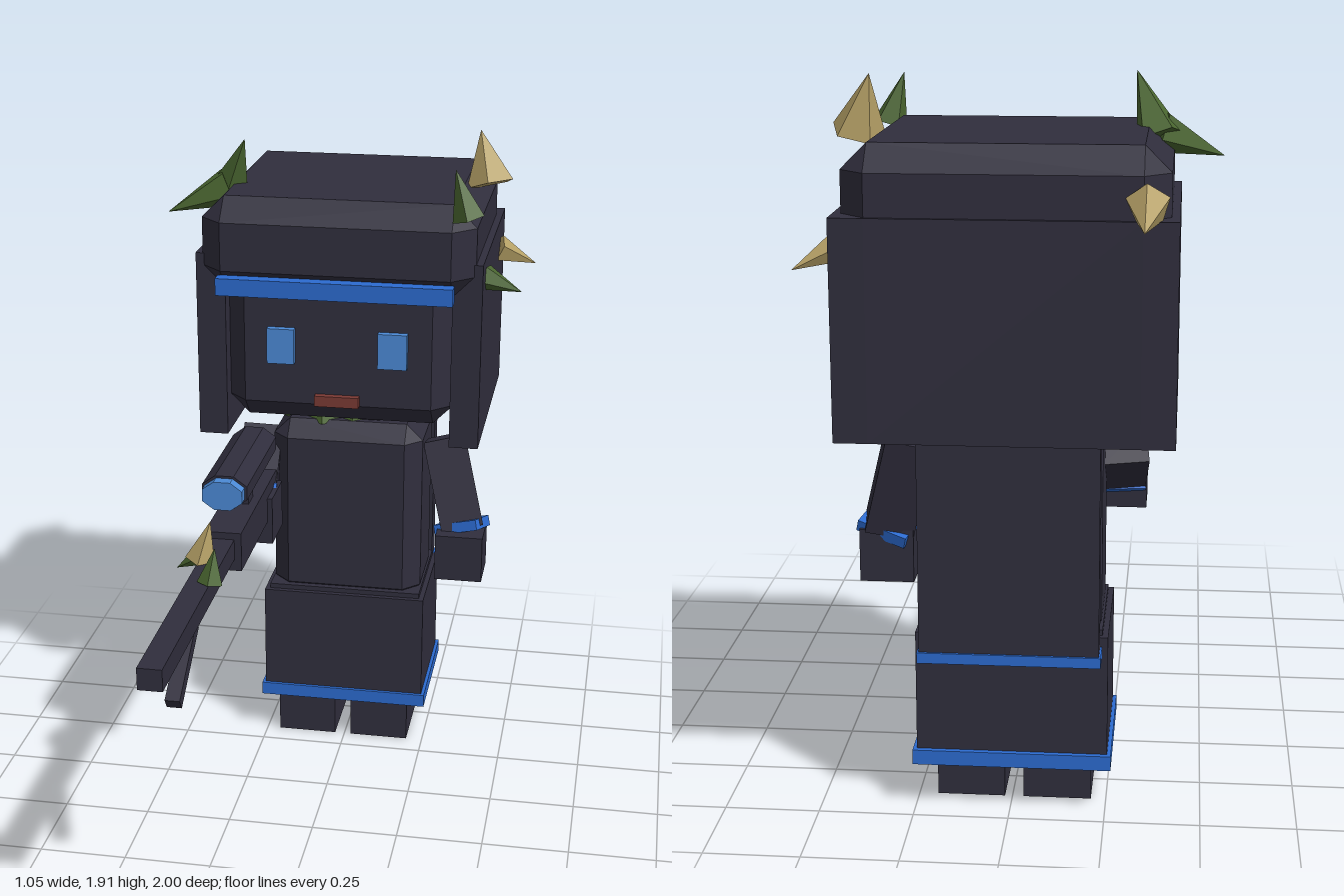
import * as THREE from 'three';
import { ConvexGeometry } from 'three/addons/geometries/ConvexGeometry.js';

const paint = (name, color, flat = false) => {
  const m = new THREE.MeshStandardMaterial({ color, flatShading: flat });
  m.name = name;
  return m;
};

export function createModel() {
  const root = new THREE.Group();
  root.name = 'hoodedFigure';
  const dark = paint('darkCloth', 0x302e3d);
  const blue = paint('blueTrim', 0x2c6bd0);
  const light = paint('lightBlue', 0x4c8ad6);
  const red = paint('mouthRed', 0x7a3a34);
  const green = paint('leafGreen', 0x4a6630, true);
  const tan = paint('dryLeaf', 0xb5a066, true);

  const add = (name, geometry, material, parent = root) => {
    const mesh = new THREE.Mesh(geometry, material);
    mesh.name = name;
    parent.add(mesh);
    return mesh;
  };
  const group = (name) => {
    const g = new THREE.Group();
    g.name = name;
    root.add(g);
    return g;
  };

  // Box given by its extents on each axis
  const box = (name, [x0, x1], [y0, y1], [z0, z1], mat, parent) => {
    const m = add(name, new THREE.BoxGeometry(x1 - x0, y1 - y0, z1 - z0), mat, parent);
    m.position.set((x0 + x1) / 2, (y0 + y1) / 2, (z0 + z1) / 2);
    return m;
  };

  // Box with all edges cut at 45 degrees
  const chamferBox = (name, [x0, x1], [y0, y1], [z0, z1], c, mat, parent) => {
    const h = [(x1 - x0) / 2, (y1 - y0) / 2, (z1 - z0) / 2];
    const pts = [];
    for (const sx of [-1, 1]) for (const sy of [-1, 1]) for (const sz of [-1, 1])
      for (let a = 0; a < 3; a++) {
        const d = h.map((v, i) => (i === a ? v : v - c));
        pts.push(new THREE.Vector3(sx * d[0], sy * d[1], sz * d[2]));
      }
    const m = add(name, new ConvexGeometry(pts), mat, parent);
    m.position.set((x0 + x1) / 2, (y0 + y1) / 2, (z0 + z1) / 2);
    return m;
  };

  const up = new THREE.Vector3(0, 1, 0);
  // Places a mesh whose y axis runs from one point to another
  const span = (mesh, from, to) => {
    const a = new THREE.Vector3(...from), b = new THREE.Vector3(...to);
    mesh.position.copy(a).add(b).multiplyScalar(0.5);
    mesh.quaternion.setFromUnitVectors(up, b.sub(a).normalize());
    return mesh;
  };
  const dist = (a, b) => new THREE.Vector3(...a).distanceTo(new THREE.Vector3(...b));
  const beam = (name, from, to, w, d, mat, parent) =>
    span(add(name, new THREE.BoxGeometry(w, dist(from, to), d), mat, parent), from, to);
  const spike = (name, base, tip, r, mat, parent) =>
    span(add(name, new THREE.ConeGeometry(r, dist(base, tip), 5), mat, parent), base, tip);

  // Head with hair slabs around the sides and back
  const head = group('head');
  chamferBox('face', [-0.34, 0.33], [1.1, 1.68], [-0.84, -0.2], 0.06, dark, head);
  box('hairRight', [-0.42, -0.335], [1.05, 1.6], [-0.89, -0.2], dark, head);
  box('hairLeft', [0.325, 0.41], [1.05, 1.6], [-0.89, -0.2], dark, head);
  box('hairBack', [-0.335, 0.325], [1.05, 1.6], [-0.89, -0.805], dark, head);
  chamferBox('hood', [-0.4, 0.39], [1.5, 1.77], [-0.88, -0.14], 0.065, dark, head);
  box('headband', [-0.345, 0.335], [1.5, 1.55], [-0.155, -0.115], blue, head);
  box('eyeRight', [-0.21, -0.13], [1.285, 1.39], [-0.205, -0.178], light, head);
  box('eyeLeft', [0.115, 0.2], [1.285, 1.39], [-0.205, -0.178], light, head);
  box('mouth', [-0.07, 0.06], [1.16, 1.192], [-0.205, -0.178], red, head);

  // Leaves stuck in the hood and hair
  const leaves = group('hoodLeaves');
  [
    [[-0.36, 1.74, -0.4], [-0.3, 1.905, -0.335], 0.065, green],
    [[-0.36, 1.755, -0.375], [-0.53, 1.685, -0.325], 0.06, green],
    [[0.395, 1.76, -0.52], [0.358, 1.91, -0.56], 0.072, tan],
    [[0.37, 1.745, -0.155], [0.33, 1.88, -0.155], 0.048, green],
    [[0.405, 1.54, -0.305], [0.515, 1.505, -0.285], 0.04, green],
    [[0.405, 1.51, -0.74], [0.52, 1.455, -0.79], 0.043, tan],
    [[-0.345, 1.64, -0.875], [-0.34, 1.59, -1], 0.055, tan],
  ].forEach(([b, t, r, m]) => spike('leaf', b, t, r, m, leaves));

  // Neck and leafy collar
  const collar = group('collar');
  box('neck', [-0.1, 0.09], [1.0, 1.14], [-0.6, -0.42], dark, collar);
  for (let i = 0; i < 8; i++) {
    const a = (i / 8) * Math.PI * 2 + 0.2;
    const x = -0.06 + 0.12 * Math.cos(a), z = -0.53 + 0.09 * Math.sin(a);
    spike('collarLeaf', [x, 1.03, z], [x + 0.02 * Math.cos(a), 1.18, z], 0.06, green, collar);
  }

  // Body, skirt, legs and cape
  const body = group('body');
  chamferBox('torso', [-0.235, 0.225], [0.46, 1.04], [-0.67, -0.35], 0.05, dark, body);
  box('waist', [-0.24, 0.23], [0.48, 0.505], [-0.68, -0.335], dark, body);
  box('skirt', [-0.255, 0.245], [0.15, 0.49], [-0.695, -0.32], dark, body);
  box('skirtTrim', [-0.265, 0.255], [0.125, 0.165], [-0.71, -0.31], blue, body);
  box('legRight', [-0.21, -0.03], [0, 0.2], [-0.62, -0.32], dark, body);
  box('legLeft', [0.02, 0.2], [0, 0.2], [-0.62, -0.32], dark, body);
  box('cape', [-0.235, 0.225], [0.46, 1.025], [-0.775, -0.71], dark, body);
  box('capeTrim', [-0.24, 0.23], [0.44, 0.468], [-0.782, -0.703], blue, body);

  // Left arm hanging down
  const armL = group('leftArm');
  beam('sleeve', [0.277, 0.965, -0.51], [0.347, 0.695, -0.45], 0.105, 0.13, dark, armL);
  beam('cuff', [0.343, 0.715, -0.452], [0.35, 0.685, -0.443], 0.115, 0.14, blue, armL);
  box('hand', [0.275, 0.42], [0.555, 0.7], [-0.5, -0.35], dark, armL);

  // Right arm reaching forward
  const armR = group('rightArm');
  beam('sleeve', [-0.285, 0.95, -0.48], [-0.27, 0.815, -0.28], 0.12, 0.11, dark, armR);
  beam('cuff', [-0.27, 0.827, -0.295], [-0.269, 0.809, -0.268], 0.13, 0.12, blue, armR);
  box('hand', [-0.34, -0.195], [0.72, 0.865], [-0.31, -0.16], dark, armR);

  // Long rifle with scope and stand
  const rifle = group('rifle');
  box('stock', [-0.315, -0.21], [0.79, 0.905], [-0.3, 0.2], dark, rifle);
  box('barrel', [-0.295, -0.23], [0.825, 0.885], [0.2, 1], dark, rifle);
  box('scopeMount', [-0.295, -0.235], [0.9, 0.97], [-0.08, -0.015], dark, rifle);
  const tube = (name, z0, z1, rx, ry, mat) => {
    const g = new THREE.CylinderGeometry(1, 1, z1 - z0, 8).rotateY(Math.PI / 8).rotateX(Math.PI / 2);
    const m = add(name, g.scale(rx, ry, 1).toNonIndexed(), mat, rifle);
    m.geometry.computeVertexNormals();
    m.position.set(-0.265, 1.01, (z0 + z1) / 2);
  };
  tube('scope', -0.25, 0.157, 0.07, 0.052, dark);
  tube('scopeLens', 0.155, 0.19, 0.062, 0.045, light);
  beam('stand', [-0.265, 0.805, 0.58], [-0.265, 0.67, 0.78], 0.04, 0.036, dark, rifle);
  spike('barrelLeaf', [-0.23, 0.885, 0.49], [-0.22, 0.98, 0.475], 0.037, green, rifle);
  spike('barrelLeaf', [-0.29, 0.885, 0.345], [-0.262, 1.0, 0.345], 0.045, tan, rifle);
  spike('barrelLeaf', [-0.3, 0.865, 0.255], [-0.385, 0.81, 0.25], 0.035, green, rifle);

  return root;
}
